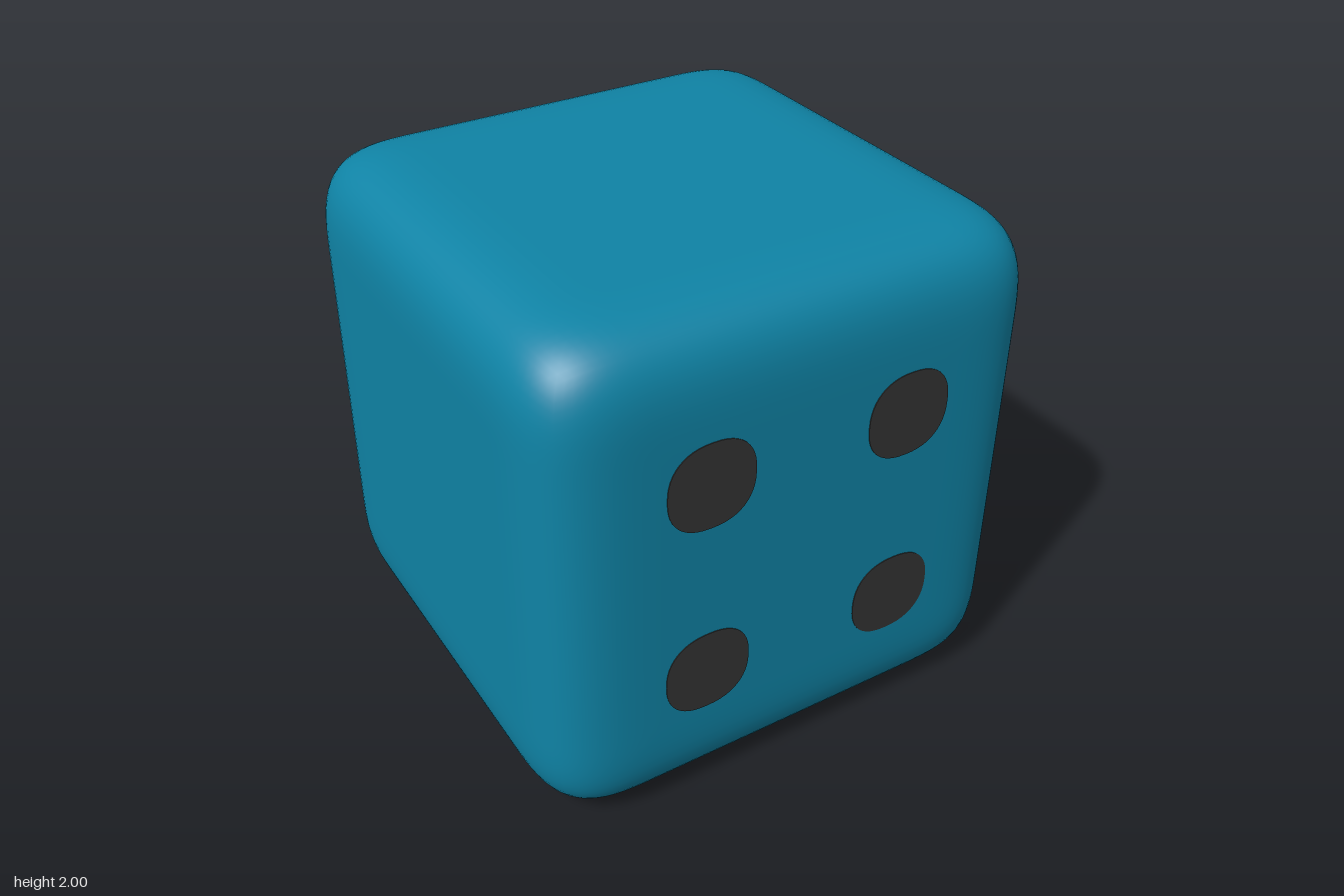
import * as THREE from 'three';
import { mergeVertices } from 'three/addons/utils/BufferGeometryUtils.js';

const HALF = 1;          // half the cube's side
const ROUND = 0.45;      // reach of the soft rounding from each edge
const POWER = 3.6;       // squareness of the rounding

// Cube whose edges and corners follow a superellipsoid
function softCube() {
  let geo = new THREE.BoxGeometry(2 * HALF, 2 * HALF, 2 * HALF, 44, 44, 44);
  geo.deleteAttribute('normal');
  geo.deleteAttribute('uv');
  geo = mergeVertices(geo, 1e-4);
  const pos = geo.attributes.position;
  const inner = HALF - ROUND;
  const p = new THREE.Vector3(), core = new THREE.Vector3();
  for (let i = 0; i < pos.count; i++) {
    p.fromBufferAttribute(pos, i);
    core.copy(p).clampScalar(-inner, inner);
    p.sub(core);
    const length = p.toArray().reduce((sum, c) => sum + Math.abs(c) ** POWER, 0) ** (1 / POWER);
    p.multiplyScalar(ROUND / length).add(core);
    pos.setXYZ(i, p.x, p.y, p.z);
  }
  geo.computeVertexNormals();
  return geo;
}

// Slightly squared disc
function pipGeometry(radius, depth) {
  const points = [];
  for (let i = 0; i < 48; i++) {
    const a = (i / 48) * Math.PI * 2;
    const squircle = (v) => Math.sign(v) * Math.abs(v) ** (2 / 2.35) * radius;
    points.push(new THREE.Vector2(squircle(Math.cos(a)), squircle(Math.sin(a))));
  }
  return new THREE.ExtrudeGeometry(new THREE.Shape(points), { depth, bevelEnabled: false });
}

export function createModel() {
  const model = new THREE.Group();
  model.name = 'die';

  const body = new THREE.Mesh(softCube(), new THREE.MeshStandardMaterial({ color: 0x0f83a5 }));
  body.name = 'body';
  body.position.y = HALF;
  model.add(body);

  // Four pips set into the front face, almost flush
  const pips = new THREE.Group();
  pips.name = 'pips';
  const geo = pipGeometry(0.17, 0.05);
  const dark = new THREE.MeshStandardMaterial({ color: 0x333333 });
  for (const x of [-0.4, 0.4]) {
    for (const y of [0.6, 1.4]) {
      const pip = new THREE.Mesh(geo, dark);
      pip.name = 'pip';
      pip.position.set(x, y, HALF + 0.003 - 0.05);
      pips.add(pip);
    }
  }
  model.add(pips);
  return model;
}
